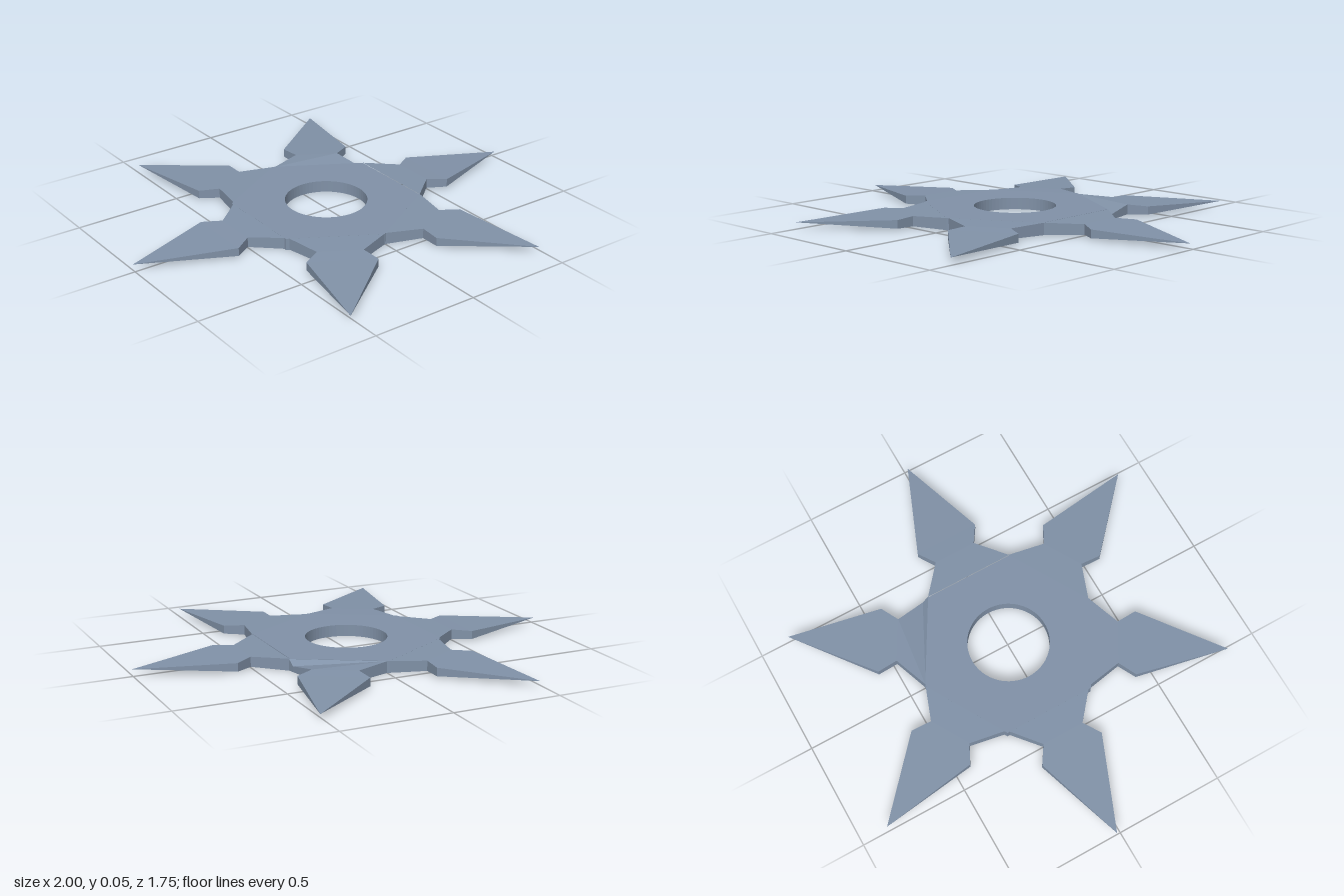
import * as THREE from 'three';

const TOP = 0.054, MID = 0.027;
const steel = new THREE.MeshStandardMaterial({ color: 0x8192a8, flatShading: true });

// Hexagonal plate with a round hole; its corners are the valleys between blades
function hubGeometry() {
  const shape = new THREE.Shape();
  for (let i = 0; i < 6; i++) {
    const a = Math.PI / 6 + i * Math.PI / 3;
    const x = 0.428 * Math.cos(a) - 0.008, y = 0.428 * Math.sin(a);
    if (i) shape.lineTo(x, y); else shape.moveTo(x, y);
  }
  shape.closePath();
  shape.holes.push(new THREE.Path().absarc(-0.008, 0, 0.187, 0, Math.PI * 2, true));
  const geo = new THREE.ExtrudeGeometry(shape, { depth: TOP, bevelEnabled: false, curveSegments: 32 });
  return geo.rotateX(-Math.PI / 2);
}

// Blade pointing along +x, lofted through pairs of edge points [x, z, top, bottom]
function bladeGeometry(stepped) {
  const pair = (x, w, top, bottom) => [[x, -w, top, bottom], [x, w, top, bottom]];
  const stations = [pair(0.365, 0.213, TOP, 0)];
  // Small sloping step at the root, deepest on one side
  if (stepped) stations.push([[0.367, -0.211, 0.053, 0], [0.392, 0.192, 0.028, 0.002]]);
  stations.push(
    pair(0.5, 0.1, 0.05, 0.004),
    pair(0.58, 0.152, 0.046, 0.008),
    [[1, 0.0175, MID, MID], [1, 0.0175, MID, MID]]
  );
  const pos = [];
  const up = p => [p[0], p[2], p[1]];
  const down = p => [p[0], p[3], p[1]];
  const quad = (a, b, c, d) => pos.push(...a, ...b, ...c, ...a, ...c, ...d);
  for (let i = 0; i < stations.length - 1; i++) {
    const [a, b] = stations[i], [c, d] = stations[i + 1];
    quad(up(a), up(b), up(d), up(c));
    quad(down(a), down(c), down(d), down(b));
    quad(down(b), down(d), up(d), up(b));
    quad(down(a), up(a), up(c), down(c));
  }
  const geo = new THREE.BufferGeometry();
  geo.setAttribute('position', new THREE.Float32BufferAttribute(pos, 3));
  geo.computeVertexNormals();
  return geo;
}

export function createModel() {
  const group = new THREE.Group();
  group.name = 'throwingStar';

  const hub = new THREE.Mesh(hubGeometry(), steel);
  hub.name = 'hub';
  group.add(hub);

  // Six barbed blades around the hub, one with the step at its root
  const plain = bladeGeometry(false), stepped = bladeGeometry(true);
  for (let i = 0; i < 6; i++) {
    const blade = new THREE.Mesh(i === 1 ? stepped : plain, steel);
    blade.name = 'blade' + (i + 1);
    blade.rotation.y = i * Math.PI / 3;
    group.add(blade);
  }
  return group;
}
